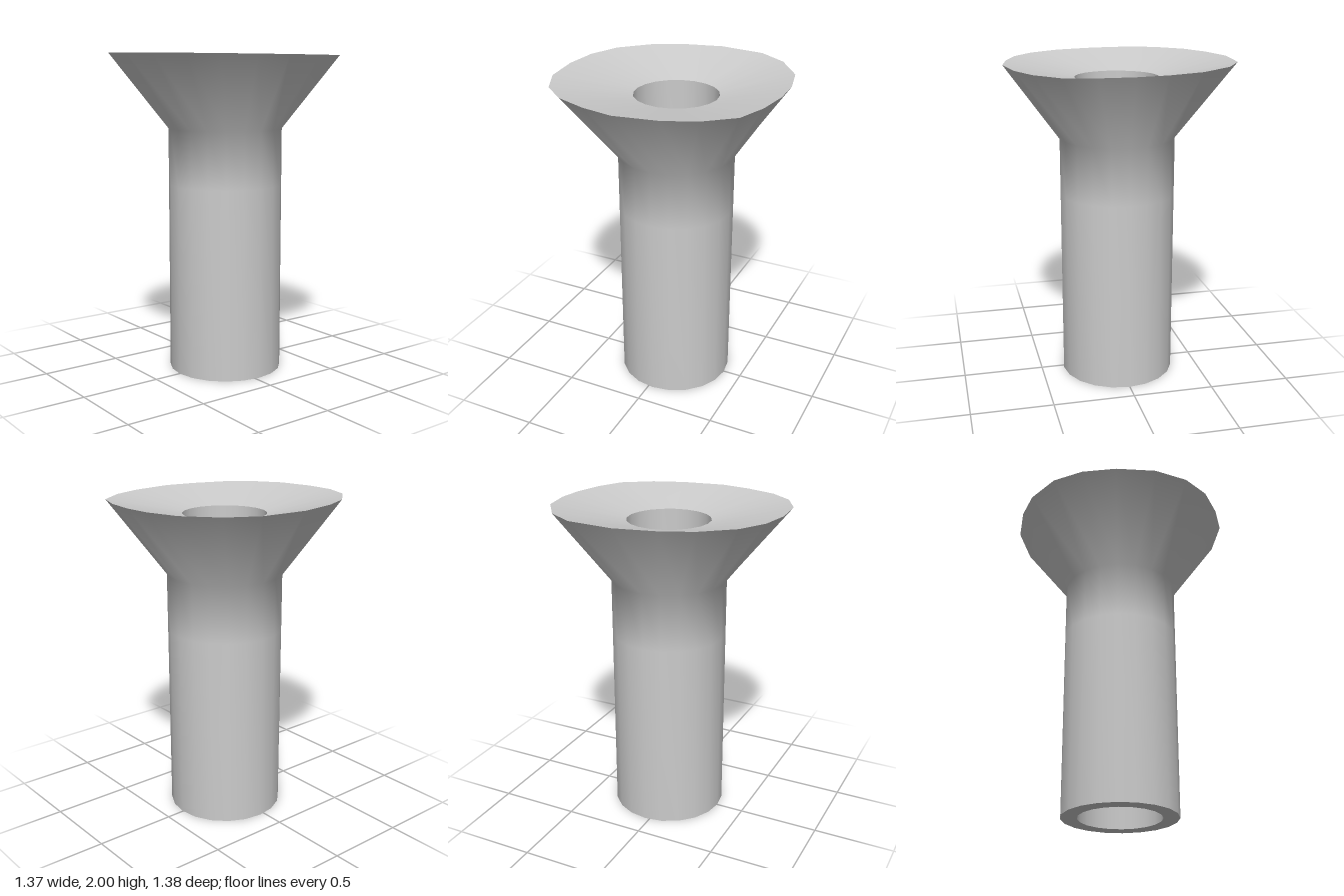
import * as THREE from 'three';
import { mergeVertices } from 'three/addons/utils/BufferGeometryUtils.js';

const SIDES = 20;
const CENTRE_X = 0.003, CENTRE_Z = -0.03;

// Irregular rim outline (x, z), starting at the front and turning towards +x
const RIM = [
  [0.01, 0.685], [0.25, 0.66], [0.44, 0.565], [0.565, 0.42], [0.64, 0.225],
  [0.68, 0.03], [0.64, -0.235], [0.565, -0.425], [0.43, -0.595], [0.25, -0.66],
  [0.05, -0.69], [-0.135, -0.685], [-0.345, -0.635], [-0.545, -0.49], [-0.655, -0.315],
  [-0.685, -0.03], [-0.63, 0.215], [-0.545, 0.4], [-0.385, 0.575], [-0.2, 0.66],
];

// Turned surface; the profile point at rimIndex is moved onto the uneven rim
function turned(name, profile, rimIndex = -1) {
  const points = profile.map(([r, y]) => new THREE.Vector2(r, y));
  let geometry = new THREE.LatheGeometry(points, SIDES);
  geometry.translate(CENTRE_X, 0, CENTRE_Z);
  if (rimIndex >= 0) {
    for (let i = 0; i <= SIDES; i++) {
      const [x, z] = RIM[i % SIDES];
      geometry.attributes.position.setXYZ(i * profile.length + rimIndex, x, 1.988 - 0.018 * x, z);
    }
  }
  // Close the seam so the smooth normals run all the way round
  geometry.deleteAttribute('uv');
  geometry.deleteAttribute('normal');
  geometry = mergeVertices(geometry, 1e-4);
  geometry.computeVertexNormals();
  const mesh = new THREE.Mesh(geometry, new THREE.MeshStandardMaterial({ color: 0xcccccc }));
  mesh.name = name;
  return mesh;
}

export function createModel() {
  const group = new THREE.Group();
  group.name = 'flaredTube';
  const outer = 0.355, inner = 0.256, holeY = 1.895;

  group.add(
    // Straight stem that blends into the flare
    turned('stemAndFlare', [[outer, 0], [outer, 1.18], [outer, 1.53], [0.69, 1.99]], 3),
    // Shallow dish from the rim down to the hole
    turned('dish', [[0.69, 1.99], [inner, holeY]], 0),
    // Bore through the full height
    turned('bore', [[inner, holeY], [inner, 0]]),
    // Flat ring at the foot
    turned('footRing', [[inner, 0], [outer, 0]]),
  );
  return group;
}
